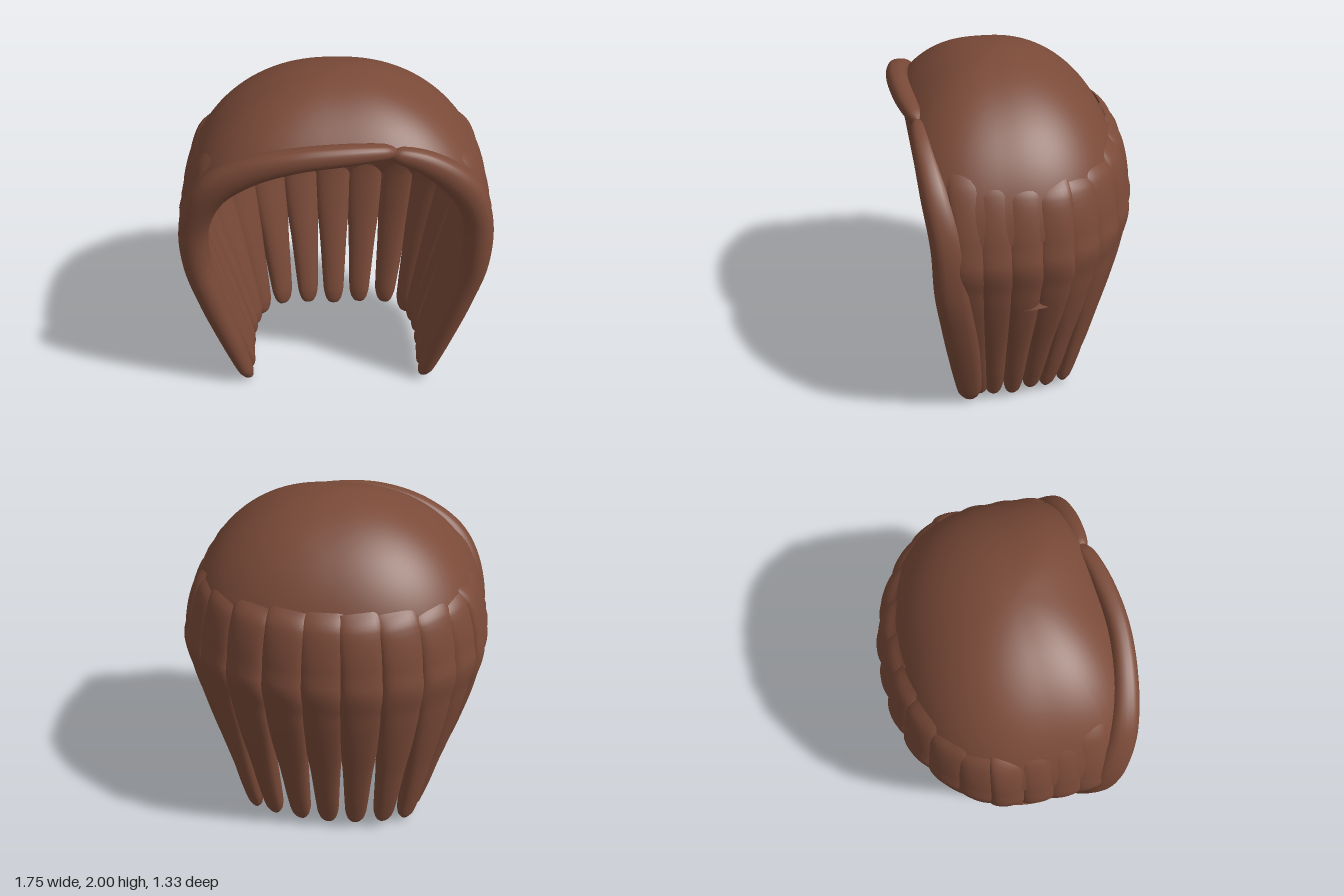
import * as THREE from 'three';

const hair = new THREE.MeshStandardMaterial({ color: 0x7a4a38, side: THREE.DoubleSide });
hair.name = 'brown hair';
const V = (x, y, z) => new THREE.Vector3(x, y, z);

function surface(name, pos, idx) {
  const g = new THREE.BufferGeometry();
  g.setAttribute('position', new THREE.Float32BufferAttribute(pos, 3));
  g.setIndex(idx);
  g.computeVertexNormals();
  const m = new THREE.Mesh(g, hair);
  m.name = name;
  return m;
}

// Flattened lock swept along points; sizes are [half width, half depth] at each point
function lock(name, points, sizes, hint, rows = 60, sides = 24) {
  const path = new THREE.CatmullRomCurve3(points);
  const size = new THREE.CatmullRomCurve3(sizes.map(([w, d]) => V(w, d, 0)));
  const pos = [], idx = [];
  for (let i = 0; i <= rows; i++) {
    const t = i / rows, e = 0.002;
    const p = path.getPoint(t), s = size.getPoint(t);
    const T = path.getPoint(Math.min(1, t + e)).sub(path.getPoint(Math.max(0, t - e))).normalize();
    const A = hint.clone().cross(T).normalize();
    const B = T.clone().cross(A);
    for (let j = 0; j < sides; j++) {
      const a = (j / sides) * Math.PI * 2, sn = Math.sin(a);
      const q = p.clone()
        .addScaledVector(A, Math.cos(a) * Math.max(s.x, 0.002))
        .addScaledVector(B, Math.sign(sn) * Math.abs(sn) ** 0.75 * Math.max(s.y, 0.002));
      pos.push(q.x, q.y, q.z);
      if (i < rows) {
        const k = i * sides + j, n = i * sides + (j + 1) % sides;
        idx.push(k, n, k + sides, n, n + sides, k + sides);
      }
    }
  }
  return surface(name, pos, idx);
}

// Opening edge: azimuth from the front (degrees) and angle down from the crown
const EDGE = [[0, 0.79], [25, 0.82], [48, 1.05], [60, 1.3], [67, 1.57], [74, 2.02], [181, 2.02]];
function edgeAngle(deg) {
  const k = EDGE.findIndex(([d]) => d > deg);
  const [a, b] = [EDGE[k - 1], EDGE[k]];
  return a[1] + (b[1] - a[1]) * (deg - a[0]) / (b[0] - a[0]);
}

// Domed shell, squarer toward the face, cut open at the front, flaring into the locks below
function shell(name, a, b, front, back, lowest) {
  const rows = 36, cols = 120, pos = [], idx = [];
  for (let i = 0; i <= rows; i++) {
    for (let j = 0; j < cols; j++) {
      const phi = (j / cols) * Math.PI * 2 - Math.PI;
      const th = (i / rows) * Math.min(lowest, edgeAngle(Math.abs(phi) * 180 / Math.PI));
      const s = Math.sin(phi), c = Math.cos(phi);
      const p = c > 0 ? 0.68 : 0.85;
      const low = Math.max(0, th - Math.PI / 2);
      const r = low > 0 ? 1 + low * low * 0.5 : Math.sin(th);
      const y = low > 0 ? 1.2 - low * b : 1.2 + b * Math.cos(th);
      const flare = c > 0 ? Math.min(r, 1) : r;
      pos.push(a * flare * Math.sign(s) * Math.abs(s) ** p, y,
        0.1 + (c > 0 ? front : back) * flare * Math.sign(c) * Math.abs(c) ** p);
      if (i < rows) {
        const k = i * cols + j, n = i * cols + (j + 1) % cols;
        idx.push(k, k + cols, n, n, k + cols, n + cols);
      }
    }
  }
  return surface(name, pos, idx);
}

export function createModel() {
  const g = new THREE.Group();
  g.name = 'bobHair';
  g.add(shell('crown', 0.85, 0.8, 0.65, 0.715, 1.42));
  g.add(shell('innerLining', 0.74, 0.765, 0.62, 0.6, 2.02));

  // Hanging locks: x and z at the fullest, x and z at the tip, half width
  const ring = [
    [0, -0.6, 0, -0.34, 0.12], [0.21, -0.585, 0.165, -0.34, 0.12], [0.42, -0.52, 0.33, -0.32, 0.122],
    [0.6, -0.4, 0.46, -0.25, 0.124], [0.72, -0.26, 0.5, -0.14, 0.115], [0.785, -0.11, 0.515, -0.04, 0.105],
    [0.8, 0.05, 0.525, 0.07, 0.104], [0.8, 0.2, 0.525, 0.18, 0.104], [0.79, 0.33, 0.52, 0.26, 0.1],
  ];
  // Above the fullest point: height, footprint scale, width factor, half depth
  const upper = [[1.59, 0.855, 0.9, 0.02], [1.5, 0.935, 1, 0.048], [1.25, 1, 1, 0.06]];
  // Below it: height, spread from tip to fullest, width factor, half depth
  const lower = [
    [1, 0.93, 1, 0.06], [0.75, 0.71, 0.9, 0.06], [0.5, 0.45, 0.72, 0.057], [0.25, 0.2, 0.6, 0.052],
    [0.12, 0.07, 0.53, 0.044], [0.06, 0.03, 0.41, 0.034], [0.03, 0.01, 0.24, 0.02], [0.02, 0, 0.02, 0.002],
  ];
  ring.forEach(([x, z, tx, tz, w], n) => {
    const lift = Math.max(0, n - 5) * 0.035; // side locks rise toward the face
    for (const side of n ? [1, -1] : [1]) {
      const drop = 0.01 * (n % 3);
      const pts = [
        ...upper.map(([y, k], i) => {
          const up = lift * [1, 0.6, 0][i], s = k - up * 0.9;
          return V(side * x * s, y + up, z * (n > 5 ? 1 : s));
        }),
        ...lower.map(([y, f]) => V(side * (tx + (x - tx) * f), y + drop * (1 - y), tz + (z - tz) * f)),
      ];
      const sizes = [...upper, ...lower].map(([, , f, d]) => [w * f, d]);
      const out = V(side * x / 0.7, 0, z / 0.45 * (n > 4 ? 0.15 : 1)).normalize();
      g.add(lock(n < 5 ? 'backLock' : 'sideLock', pts, sizes, out));
    }
  });

  // Front locks framing the face; the right one sweeps across the brow to the parting
  const fall = side => [
    V(side * 0.775, 1.0, 0.42), V(side * 0.715, 0.7, 0.385), V(side * 0.615, 0.32, 0.345),
    V(side * 0.555, 0.1, 0.325), V(side * 0.535, 0.04, 0.318), V(side * 0.525, 0.012, 0.312),
    V(side * 0.52, 0.005, 0.31),
  ];
  const fallSize = [
    [0.076, 0.1], [0.073, 0.1], [0.06, 0.088], [0.045, 0.07], [0.032, 0.045], [0.018, 0.022], [0.002, 0.002],
  ];
  g.add(lock('rightFringe', [
    V(0.33, 1.75, 0.5), V(0.24, 1.775, 0.54), V(0.05, 1.785, 0.58), V(-0.2, 1.77, 0.6),
    V(-0.45, 1.69, 0.575), V(-0.65, 1.54, 0.525), V(-0.76, 1.3, 0.46), ...fall(-1),
  ], [
    [0.01, 0.01], [0.04, 0.045], [0.055, 0.056], [0.062, 0.06], [0.074, 0.07], [0.085, 0.085],
    [0.083, 0.1], ...fallSize,
  ], V(0, 0, 1), 110));
  g.add(lock('leftFringe', [
    V(0.24, 1.75, 0.52), V(0.32, 1.745, 0.525), V(0.47, 1.685, 0.515), V(0.65, 1.53, 0.48),
    V(0.76, 1.3, 0.435), ...fall(1),
  ], [
    [0.01, 0.01], [0.045, 0.045], [0.065, 0.06], [0.082, 0.08], [0.08, 0.095], ...fallSize,
  ], V(0, 0, 1), 100));
  return g;
}
